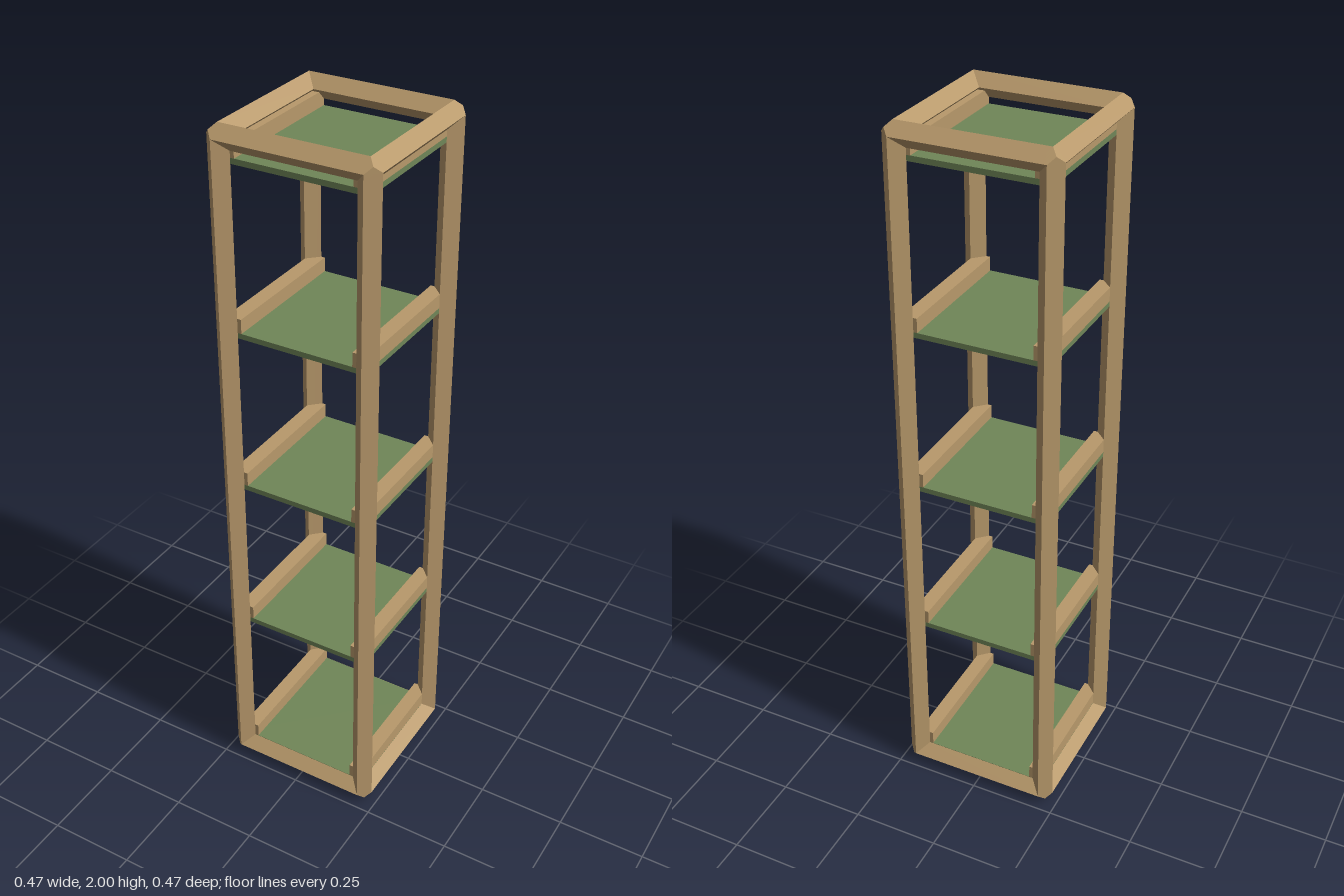
import * as THREE from 'three';
import { ConvexGeometry } from 'three/addons/geometries/ConvexGeometry.js';

const R = 0.032;          // half diagonal of the diamond-section bars
const A = 0.203;          // bar axis offset in x and z
const LOW = R, HIGH = 2 - R;

export function createModel() {
  const model = new THREE.Group();
  model.name = 'shelfTower';
  const wood = new THREE.MeshStandardMaterial({ color: 0xb8996b, flatShading: true });
  const green = new THREE.MeshStandardMaterial({ color: 0x708658, flatShading: true });

  const add = (parent, name, geometry, material, x, y, z) => {
    const mesh = new THREE.Mesh(geometry, material);
    mesh.name = name;
    mesh.position.set(x, y, z);
    parent.add(mesh);
    return mesh;
  };

  // Frame: square bars turned on edge, so each section is a diamond
  const frame = new THREE.Group();
  frame.name = 'frame';
  model.add(frame);
  const postGeo = new THREE.CylinderGeometry(R, R, HIGH - LOW, 4, 1, true);
  const railGeo = new THREE.CylinderGeometry(R, R, 2 * A, 4, 1, true);

  // Mitred corner: the solid shared by three crossing diamond bars
  const points = [];
  for (const s of [-1, 1]) {
    points.push(new THREE.Vector3(s * R, 0, 0), new THREE.Vector3(0, s * R, 0), new THREE.Vector3(0, 0, s * R));
    for (const t of [-1, 1]) for (const u of [-1, 1]) {
      points.push(new THREE.Vector3(s, t, u).multiplyScalar(R / 2));
    }
  }
  const cornerGeo = new ConvexGeometry(points);

  for (const sx of [-1, 1]) {
    for (const sz of [-1, 1]) {
      add(frame, 'post', postGeo, wood, sx * A, 1, sz * A);
      for (const y of [LOW, HIGH]) add(frame, 'cornerJoint', cornerGeo, wood, sx * A, y, sz * A);
    }
  }
  for (const y of [LOW, HIGH]) {
    for (const s of [-1, 1]) {
      add(frame, 'crossBar', railGeo, wood, 0, y, s * A).rotation.z = Math.PI / 2;
      add(frame, 'sideBar', railGeo, wood, s * A, y, 0).rotation.x = Math.PI / 2;
    }
  }

  // Five shelves: thin panel with a wooden rail on each side
  const panelGeo = new THREE.BoxGeometry(2 * A, 0.015, 2 * A);
  const lipGeo = new THREE.BoxGeometry(0.043, 0.04, 2 * A);
  for (let i = 0; i < 5; i++) {
    const shelf = new THREE.Group();
    shelf.name = 'shelf';
    shelf.position.y = 0.05 + i * 0.4635;
    model.add(shelf);
    add(shelf, 'shelfPanel', panelGeo, green, 0, 0.0075, 0);
    for (const s of [-1, 1]) add(shelf, 'shelfSideRail', lipGeo, wood, s * (A - 0.0215), 0.035, 0);
  }
  return model;
}
